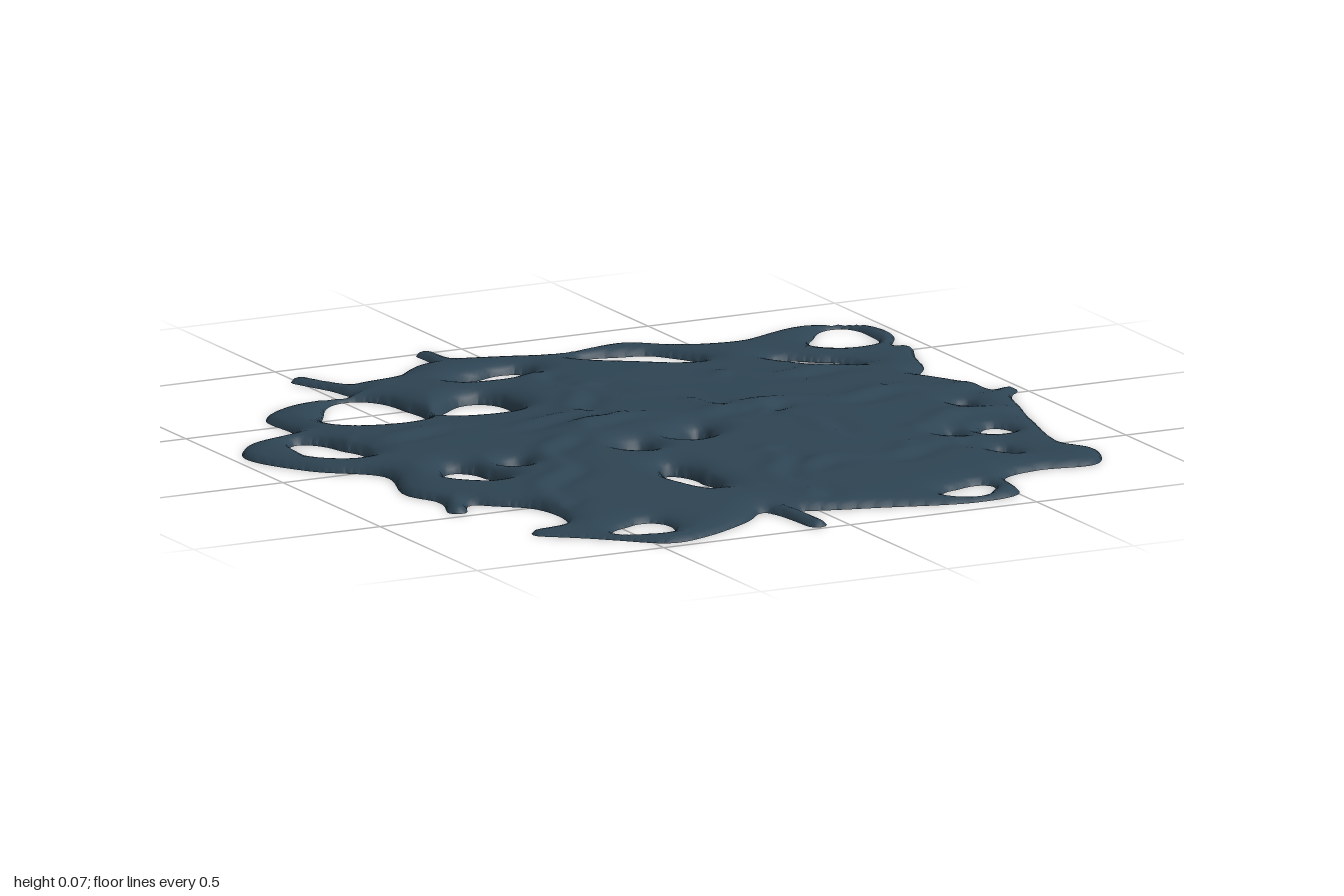
import * as THREE from 'three';
import { mergeVertices } from 'three/addons/utils/BufferGeometryUtils.js';

// Plan measures below are in hundredths of a unit, as x, z pairs

// Wavy outer edge, clockwise from the rear
const edge = [
  -10, -88, 2, -84, 13, -80, 34, -84, 46, -75, 58, -73, 80, -80, 95, -74, 97, -64, 91, -53,
  89, -33, 83, -23, 89, -10, 92, 5, 87, 26, 82, 52, 86, 62, 80, 73, 65, 72, 54, 76, 50, 91,
  37, 94, 14, 88, 0, 84, -12, 79, -20, 86, -36, 95, -46, 97, -56, 89, -68, 74, -59, 68,
  -59, 52, -69, 42, -80, 26, -76, 6, -89, -7, -97, -25, -91, -35, -76, -40, -75, -57,
  -65, -65, -47, -67, -42, -76, -30, -78, -20, -86];

// Drips running out from the edge: start and end
const drips = [
  [-11, -85, -11, -97.5], [-44, -73, -49, -88], [-73, 37, -77, 45], [-60, 78, -69, 74],
  [-9, 82, -7, 96.5], [88, 4, 95, -2], [86, -40, 92, -50]];

// Holes: centre, long and short radius, turn in degrees
const holes = [
  [-52, -47, 16, 12, 100], [-28, -38, 11, 9, -35], [-9, -65, 11, 5.5, -15], [31, -67, 15, 7, 32],
  [84, -65, 11, 8, -60], [67, -45, 11, 4, 42], [-78, -19, 12, 6, 75], [-60, 20, 9, 5, 75],
  [-47, 18, 2.5, 2.5, 0], [-15, 19, 3, 3, 0], [3, 14, 5.5, 3, -40], [-16, 48, 11, 4, 85],
  [78, 9, 3, 2.3, 100], [73, 35, 5.5, 4, -50], [61, 36, 2.5, 1.5, 100], [65, 55, 3.3, 2, 70],
  [-46, 83, 8, 6, -10], [40, 85, 8, 5, -25]];

// Wandering folds where one flow drops onto another: start and end
const folds = [
  [-71, -19, -15, -5], [-18, 0, 30, 2], [-10, -12, -2, -52], [1, -35, 26, 5], [26, 3, 42, 46],
  [30, 2, 92, -4], [-30, 10, -55, 56], [1, 77, 10, 40], [14, 56, 56, 50], [38, -32, 80, -27],
  [54, 32, 84, 20]];

const toSegments = (pts) => pts.slice(1).map((b, i) => {
  const a = pts[i], dx = b.x - a.x, dz = b.z - a.z;
  return { x: a.x, z: a.z, dx, dz, len2: dx * dx + dz * dz || 1e-12 };
});

function edgeSegments() {
  const pts = [];
  for (let i = 0; i < edge.length; i += 2)
    pts.push(new THREE.Vector3(edge[i] / 100, 0, edge[i + 1] / 100));
  return toSegments(new THREE.CatmullRomCurve3(pts, true, 'centripetal').getPoints(pts.length * 6));
}

// Line from start to end, swaying sideways by a sine
function wavyLine([x0, z0, x1, z1], sway, phase) {
  const dx = (x1 - x0) / 100, dz = (z1 - z0) / 100, length = Math.hypot(dx, dz);
  const pts = [];
  for (let i = 0; i <= 24; i++) {
    const t = i / 24, s = (sway / length) * Math.sin(t * length * 20 + phase);
    pts.push({ x: x0 / 100 + dx * t - dz * s, z: z0 / 100 + dz * t + dx * s });
  }
  return toSegments(pts);
}

const edgeLine = edgeSegments();
const dripLines = drips.map((d, i) => wavyLine(d, 0.004, i));
const foldLines = folds.map((f, i) => wavyLine(f, 0.028, i * 2));

// Offset from a point to the nearest place on a list of segments
function nearest(segments, x, z) {
  let best = { d2: Infinity };
  for (const s of segments) {
    const t = Math.min(1, Math.max(0, ((x - s.x) * s.dx + (z - s.z) * s.dz) / s.len2));
    const ox = x - s.x - t * s.dx, oz = z - s.z - t * s.dz, d2 = ox * ox + oz * oz;
    if (d2 < best.d2) best = { d2, ox, oz };
  }
  return best;
}

// Distance to a hole's rim, negative inside the hole
function holeDistance([cx, cz, a, b, turn], x, z) {
  const angle = THREE.MathUtils.degToRad(turn), px = x - cx / 100, pz = z - cz / 100;
  const u = px * Math.cos(angle) + pz * Math.sin(angle);
  const v = pz * Math.cos(angle) - px * Math.sin(angle);
  const swell = (1 + 0.1 * Math.sin(3 * Math.atan2(v, u) + cx)) / 100;
  const ra = a * swell, rb = b * swell;
  const k0 = Math.hypot(u / ra, v / rb) + 1e-6;
  const k1 = Math.hypot(u / (ra * ra), v / (rb * rb)) + 1e-6;
  return (k0 * (k0 - 1)) / k1;
}

// Distance to the border: positive on the sheet, negative outside and in holes
function inset(x, z) {
  let inside = false;
  for (const s of edgeLine) {
    if ((s.z > z) !== (s.z + s.dz > z) && x < s.x + ((z - s.z) / s.dz) * s.dx) inside = !inside;
  }
  let d = Math.sqrt(nearest(edgeLine, x, z).d2) * (inside ? 1 : -1);
  for (const line of dripLines) {
    const drip = 0.025 - Math.sqrt(nearest(line, x, z).d2);
    const blend = Math.max(0, 0.05 - Math.abs(d - drip));
    d = Math.max(d, drip) + (blend * blend) / 0.2;
  }
  for (const hole of holes) d = Math.min(d, holeDistance(hole, x, z));
  return d;
}

// Low dome with a rounded rim, folds and a small peak
function height(x, z, d) {
  const rim = Math.min(1, d / 0.08);
  let h = 0.02 + 0.03 * Math.max(0, 1 - (x * x + z * z) / 0.9);
  h += 0.015 * Math.exp(-((x + 0.17) ** 2 + z * z) / 0.015);
  h += 0.003 * Math.sin(5 * x + 2 * z) * Math.cos(6 * z - 2 * x);
  for (const line of foldLines) {
    const n = nearest(line, x, z);
    h -= 0.014 * ((n.ox + n.oz) / 0.05) * Math.exp(-n.d2 / 0.0014);
  }
  return Math.max(0.002, h) * Math.sqrt(1 - (1 - rim) ** 2);
}

// Keep the part of a triangle that lies on the sheet
function clip(tri) {
  const out = [];
  tri.forEach((a, i) => {
    const b = tri[(i + 1) % 3];
    if (a.d >= 0) out.push(a);
    if ((a.d >= 0) !== (b.d >= 0)) {
      const t = a.d / (a.d - b.d);
      out.push({ x: a.x + (b.x - a.x) * t, y: 0, z: a.z + (b.z - a.z) * t });
    }
  });
  return out;
}

function sheetGeometry() {
  const n = 168, step = 2.02 / n, grid = [];
  for (let j = 0; j <= n; j++) {
    for (let i = 0; i <= n; i++) {
      const x = -1.01 + i * step, z = -1.01 + j * step, d = inset(x, z);
      grid.push({ x, z, d, y: d > 0 ? height(x, z, d) : 0 });
    }
  }
  const positions = [];
  for (let j = 0; j < n; j++) {
    for (let i = 0; i < n; i++) {
      const k = j * (n + 1) + i;
      const a = grid[k], b = grid[k + n + 1], c = grid[k + 1], e = grid[k + n + 2];
      for (const tri of [[a, b, c], [c, b, e]]) {
        const poly = clip(tri);
        for (let q = 2; q < poly.length; q++)
          for (const p of [poly[0], poly[q - 1], poly[q]]) positions.push(p.x, p.y, p.z);
      }
    }
  }
  const raw = new THREE.BufferGeometry();
  raw.setAttribute('position', new THREE.Float32BufferAttribute(positions, 3));
  const geometry = mergeVertices(raw, 1e-5);
  geometry.computeVertexNormals();
  return geometry;
}

export function createModel() {
  const slate = new THREE.MeshStandardMaterial({ color: 0x2e4453, side: THREE.DoubleSide });
  slate.name = 'dark slate blue';
  const sheet = new THREE.Mesh(sheetGeometry(), slate);
  sheet.name = 'splatSheet';
  const group = new THREE.Group();
  group.name = 'splat';
  group.add(sheet);
  return group;
}
